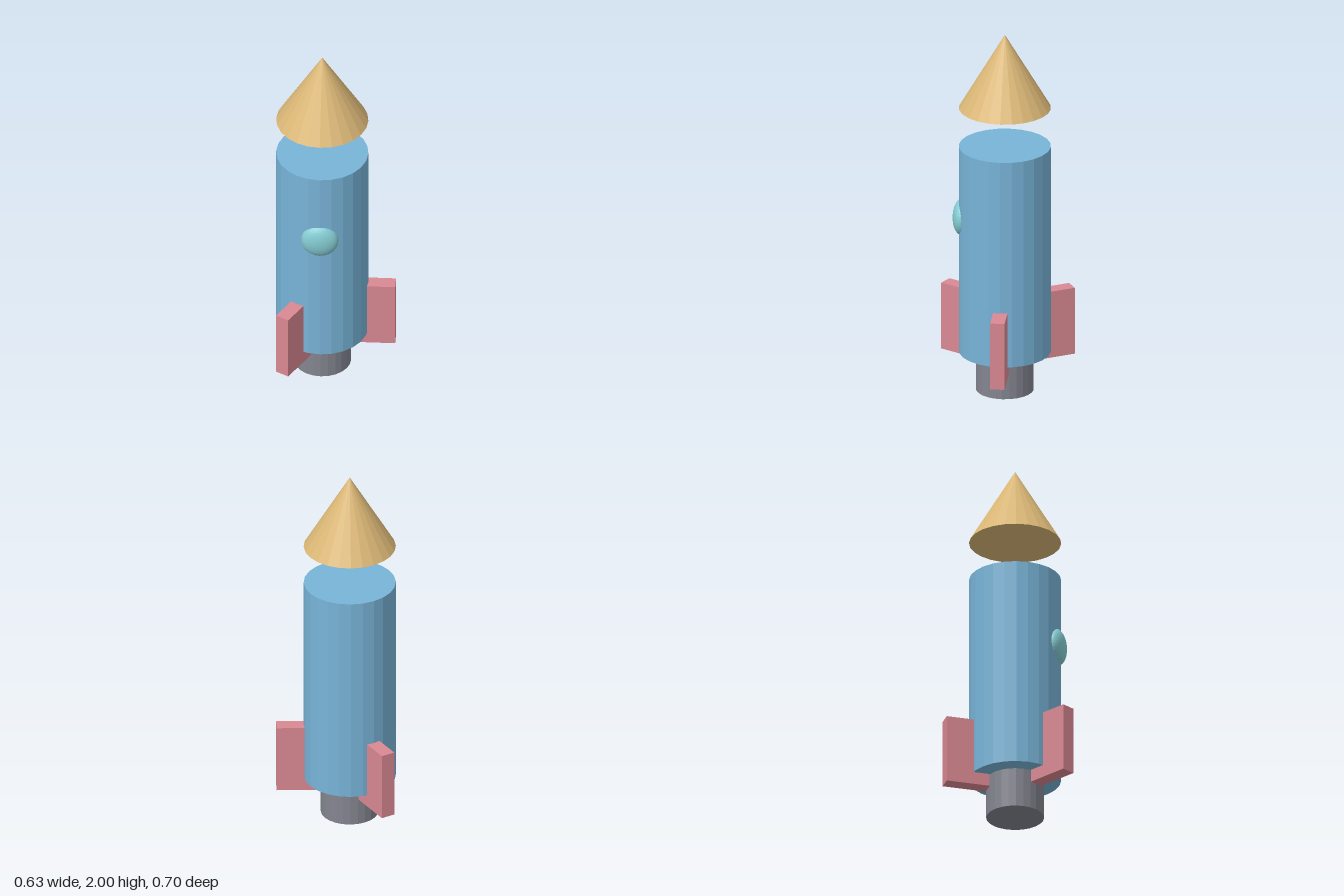
import * as THREE from 'three';

const mat = (name, color) => {
  const m = new THREE.MeshStandardMaterial({ color, flatShading: true });
  m.name = name;
  return m;
};

export function createModel() {
  const rocket = new THREE.Group();
  rocket.name = 'rocket';

  const blue = mat('hull blue', 0x78b4d8);
  const tan = mat('nose tan', 0xdcb877);
  const pink = mat('fin pink', 0xd98892);
  const grey = mat('nozzle grey', 0x83858f);
  const teal = mat('window teal', 0x84ccd2);

  // The three fins reach further to +x, so the axis sits left of the centre
  const axis = new THREE.Group();
  axis.name = 'rocketAxis';
  axis.position.x = -0.072;
  rocket.add(axis);

  const add = (name, geometry, material, x, y, z, parent = axis) => {
    const mesh = new THREE.Mesh(geometry, material);
    mesh.name = name;
    mesh.position.set(x, y, z);
    parent.add(mesh);
    return mesh;
  };

  // Upright drum between two heights
  const drum = (name, material, radius, y0, y1) =>
    add(name, new THREE.CylinderGeometry(radius, radius, y1 - y0, 24), material, 0, (y0 + y1) / 2, 0);

  drum('body', blue, 0.242, 0.216, 1.372);
  drum('nozzle', grey, 0.152, 0, 0.218);

  // Nose cone floats above the body
  add('noseCone', new THREE.ConeGeometry(0.242, 0.412, 24), tan, 0, 1.794, 0);

  // Flattened dome window on the front
  const porthole = add('window', new THREE.IcosahedronGeometry(1, 5), teal, 0, 0.963, 0.225);
  porthole.scale.set(0.098, 0.098, 0.05);

  // Three slab fins, evenly spaced
  for (let i = 0; i < 3; i++) {
    const pivot = new THREE.Group();
    pivot.name = `finPivot${i + 1}`;
    pivot.rotation.y = (i * Math.PI * 2) / 3;
    axis.add(pivot);
    add(`fin${i + 1}`, new THREE.BoxGeometry(0.235, 0.372, 0.076), pink, 0.2675, 0.334, 0, pivot);
  }

  return rocket;
}
